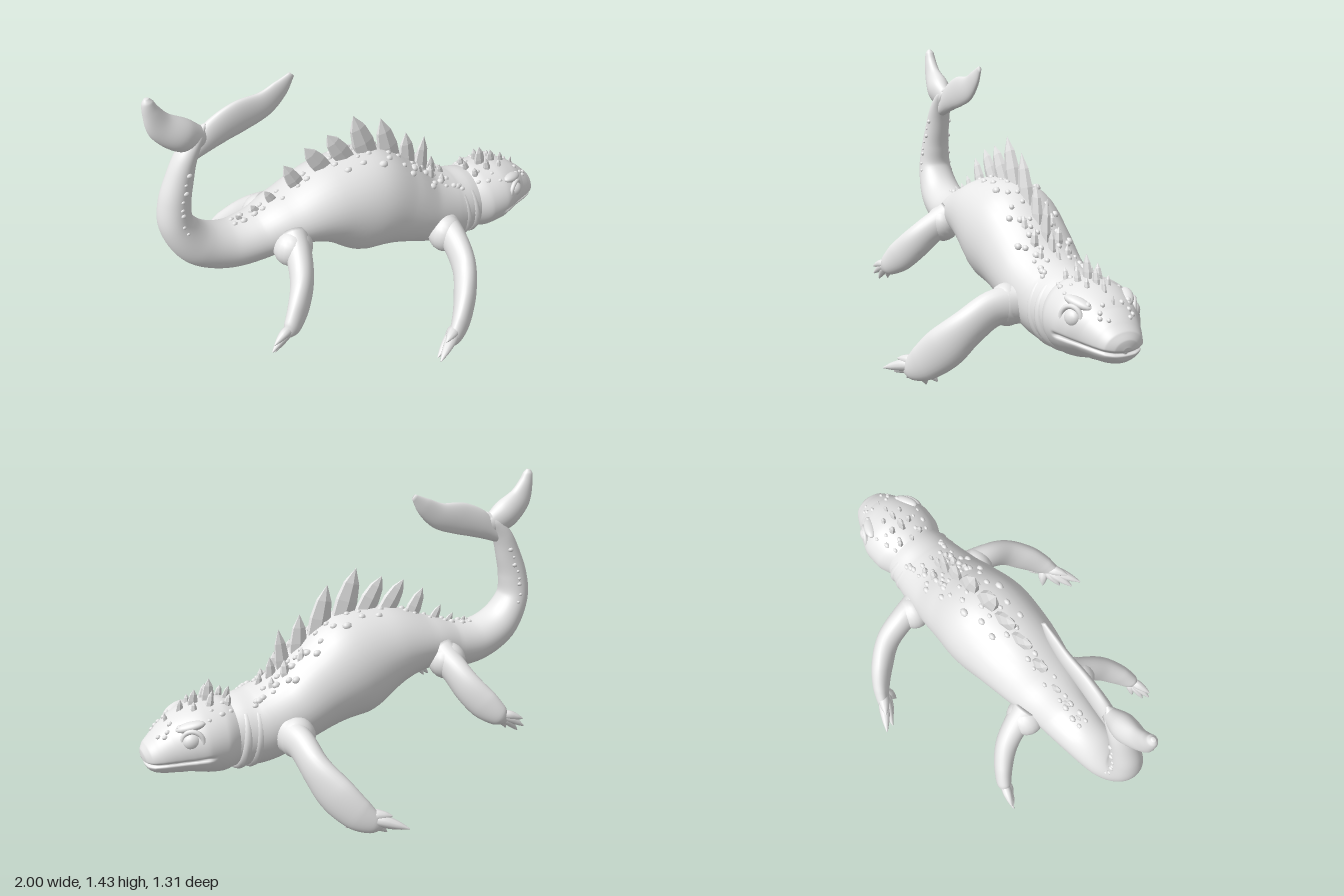
import * as THREE from 'three';

const clay = new THREE.MeshStandardMaterial({ color: 0xe8e8e8 });
clay.name = 'pale grey clay';
const V = (x, y, z) => new THREE.Vector3(x, y, z);

// Smooth skin through stations [x, y, z, half width, half height]
function skin(stations, side, rings = stations.length * 6, segs = 28) {
  const path = new THREE.CatmullRomCurve3(stations.map(s => V(s[0], s[1], s[2])));
  const radii = new THREE.CatmullRomCurve3(stations.map(s => V(s[3], s[4], 0)));
  const at = (t, angle, k = 1) => {
    const c = path.getPoint(t), r = radii.getPoint(t), T = path.getTangent(t);
    const S = side ? side.clone() : V(0, 1, 0).cross(T).normalize();
    const U = T.clone().cross(S);
    return c.addScaledVector(S, Math.cos(angle) * r.x * k).addScaledVector(U, Math.sin(angle) * r.y * k);
  };
  const pos = [], idx = [];
  for (let i = -1; i <= rings + 1; i++) {
    const t = Math.min(1, Math.max(0, i / rings)), k = i < 0 || i > rings ? 0.001 : 1;
    for (let j = 0; j < segs; j++) pos.push(...at(t, j / segs * Math.PI * 2, k).toArray());
  }
  for (let i = 0; i < rings + 2; i++) for (let j = 0; j < segs; j++) {
    const a = i * segs + j, b = i * segs + (j + 1) % segs;
    idx.push(a, b, a + segs, b, b + segs, a + segs);
  }
  const geometry = new THREE.BufferGeometry();
  geometry.setAttribute('position', new THREE.Float32BufferAttribute(pos, 3));
  geometry.setIndex(idx);
  geometry.computeVertexNormals();
  return { geometry, at };
}

function add(parent, name, geometry) {
  const mesh = new THREE.Mesh(geometry, clay);
  mesh.name = name;
  parent.add(mesh);
  return mesh;
}

const ball = new THREE.SphereGeometry(1, 20, 14);
const pebble = new THREE.SphereGeometry(1, 8, 6);
// Faceted spine: unshared corners give flat faces
const spikeShape = new THREE.LatheGeometry(
  [[0.95, -0.25], [1, 0.25], [0.72, 0.65], [0, 1]].map(p => new THREE.Vector2(...p)), 6).toNonIndexed();
spikeShape.computeVertexNormals();

function blob(parent, name, p, s, geometry = ball) {
  const m = add(parent, name, geometry);
  m.position.set(...p);
  m.scale.set(...s);
  return m;
}

// Blade from base to tip, leaning in the body plane
function spike(parent, name, bx, by, tx, ty, w, z = 0, depth = 0.45) {
  const m = add(parent, name, spikeShape);
  m.position.set(bx, by, z);
  m.rotation.z = Math.atan2(ty - by, tx - bx) - Math.PI / 2;
  m.scale.set(w, Math.hypot(tx - bx, ty - by), w * depth);
}

function limb(parent, name, s, stations, joint, jointSize, toeBase, toeTips, toeWidth) {
  const g = new THREE.Group();
  g.name = name;
  parent.add(g);
  const mir = a => [a[0], a[1], a[2] * s, ...a.slice(3)];
  add(g, name + 'Flesh', skin(stations.map(mir)).geometry);
  blob(g, name + 'Joint', mir(joint), jointSize);
  toeTips.forEach(tip => {
    const mix = (k, r, lift = 0) => mir([0, 1, 2].map(i =>
      toeBase[i] + (tip[i] - toeBase[i]) * k + (i === 1 ? lift : 0)).concat(r, r));
    add(g, name + 'Toe', skin([mix(0, toeWidth * 0.8), mix(0.4, toeWidth, 0.008),
      mix(0.75, toeWidth * 0.65, 0.005), mix(1, 0.003)], null, 12, 10).geometry);
  });
}

export function createModel() {
  const model = new THREE.Group();
  model.name = 'seaLizard';
  const Z = V(0, 0, 1);

  // Body from neck to tail tip
  const body = skin([
    [0.70, 0.385, 0, 0.14, 0.13], [0.56, 0.385, 0, 0.17, 0.17], [0.45, 0.395, 0, 0.187, 0.18],
    [0.30, 0.455, 0, 0.205, 0.182], [0.15, 0.54, 0, 0.22, 0.218], [0, 0.607, 0, 0.232, 0.255],
    [-0.2, 0.66, 0, 0.21, 0.198], [-0.4, 0.652, 0, 0.17, 0.128], [-0.55, 0.615, 0, 0.135, 0.115],
    [-0.7, 0.615, 0, 0.115, 0.107], [-0.835, 0.68, 0, 0.105, 0.097], [-0.915, 0.81, 0, 0.085, 0.075],
    [-0.91, 0.92, 0, 0.072, 0.069], [-0.88, 1.02, 0, 0.062, 0.06], [-0.84, 1.12, 0, 0.055, 0.047],
    [-0.785, 1.2, 0, 0.042, 0.03], [-0.74, 1.245, 0, 0.006, 0.006]], Z, 120, 40);
  add(model, 'body', body.geometry);

  // Tail fin lobes
  add(model, 'frontTailFin', skin([
    [-0.82, 1.12, 0, 0.03, 0.03], [-0.7, 1.195, 0, 0.032, 0.068], [-0.6, 1.23, 0, 0.028, 0.076],
    [-0.48, 1.255, 0, 0.023, 0.062], [-0.4, 1.305, 0, 0.018, 0.044], [-0.34, 1.358, 0, 0.008, 0.014]], Z).geometry);
  add(model, 'rearTailFin', skin([
    [-0.76, 1.175, 0, 0.03, 0.05], [-0.85, 1.228, 0, 0.055, 0.072], [-0.925, 1.292, 0, 0.038, 0.062],
    [-0.96, 1.37, 0, 0.028, 0.037], [-0.97, 1.415, 0, 0.021, 0.024], [-0.972, 1.434, 0, 0.008, 0.01]], Z).geometry);

  // Soft neck folds
  [[0.51, 0.385, 0.156], [0.565, 0.38, 0.15]].forEach(([x, y, r]) => {
    const fold = add(model, 'neckFold', new THREE.TorusGeometry(r, 0.026, 12, 48));
    fold.position.set(x, y, 0);
    fold.rotation.set(0, Math.PI / 2, 0.1, 'ZYX');
  });

  // Head, with the mouth pressed in as a narrow crease
  const head = skin([
    [0.575, 0.38, 0, 0.15, 0.15], [0.66, 0.385, 0, 0.186, 0.168], [0.74, 0.388, 0, 0.19, 0.161],
    [0.81, 0.378, 0, 0.168, 0.143], [0.87, 0.361, 0, 0.137, 0.12], [0.93, 0.343, 0, 0.11, 0.093],
    [0.97, 0.333, 0, 0.088, 0.07], [0.992, 0.328, 0, 0.055, 0.045], [1, 0.326, 0, 0.018, 0.015]], null, 90, 140);
  const skinPoints = head.geometry.attributes.position;
  for (let i = 0; i < skinPoints.count; i++) {
    const x = skinPoints.getX(i), y = skinPoints.getY(i), z = skinPoints.getZ(i);
    const d = (y - 0.315 - z * z) / 0.007;
    const press = 1 - 0.09 * Math.exp(-d * d) * THREE.MathUtils.smoothstep(x, 0.71, 0.76);
    skinPoints.setXYZ(i, 0.7 + (x - 0.7) * (1 - (1 - press) * 0.6), y, z * press);
  }
  head.geometry.computeVertexNormals();
  add(model, 'head', head.geometry);

  for (const s of [1, -1]) {
    // Eyes, brows and nostrils
    blob(model, 'eye', [0.81, 0.43, s * 0.136], [0.044, 0.04, 0.034]);
    const lid = add(model, 'eyelid', new THREE.TorusGeometry(0.046, 0.011, 10, 28));
    lid.position.set(0.812, 0.432, s * 0.146);
    lid.rotation.y = s * 0.5;
    const brow = blob(model, 'brow', [0.81, 0.487, s * 0.112], [0.068, 0.022, 0.03]);
    brow.rotation.set(0, s * 0.45, -0.25);
    const nostril = add(model, 'nostril', new THREE.TorusGeometry(0.011, 0.005, 8, 16));
    nostril.position.set(0.965, 0.383, s * 0.06);
    nostril.rotation.y = s * 0.8;

    // Front and rear legs
    limb(model, s > 0 ? 'leftFrontLeg' : 'rightFrontLeg', s, [
      [0.37, 0.385, 0.16, 0.075, 0.09], [0.357, 0.37, 0.27, 0.06, 0.08], [0.337, 0.295, 0.38, 0.056, 0.083],
      [0.285, 0.205, 0.465, 0.053, 0.095], [0.215, 0.125, 0.535, 0.042, 0.08], [0.155, 0.085, 0.572, 0.028, 0.05],
      [0.12, 0.07, 0.585, 0.01, 0.015]], [0.35, 0.38, 0.2], [0.085, 0.095, 0.08], [0.2, 0.11, 0.54],
      [[0.025, 0.065, 0.65], [0.04, 0.045, 0.605], [0.09, 0.025, 0.565], [0.155, 0.005, 0.5],
        [0.085, 0.12, 0.605], [0.25, 0.045, 0.485]], 0.028);
    limb(model, s > 0 ? 'leftRearLeg' : 'rightRearLeg', s, [
      [-0.43, 0.625, 0.12, 0.07, 0.085], [-0.45, 0.575, 0.21, 0.058, 0.072], [-0.483, 0.5, 0.29, 0.052, 0.076],
      [-0.535, 0.43, 0.35, 0.045, 0.075], [-0.595, 0.375, 0.395, 0.034, 0.052], [-0.63, 0.352, 0.41, 0.012, 0.018]],
      [-0.45, 0.595, 0.155], [0.09, 0.088, 0.083], [-0.59, 0.38, 0.395],
      [[-0.7, 0.355, 0.435], [-0.71, 0.315, 0.43], [-0.69, 0.29, 0.41], [-0.645, 0.3, 0.38]], 0.022);

    // Small paired spikes on shoulders and head
    [[0.27, 0.68, 0.26, 0.745, 0.02, 0.07], [0.34, 0.62, 0.345, 0.7, 0.024, 0.06],
      [0.41, 0.56, 0.41, 0.63, 0.02, 0.065], [0.62, 0.54, 0.61, 0.585, 0.016, 0.06],
      [0.70, 0.54, 0.685, 0.61, 0.018, 0.05], [0.77, 0.525, 0.77, 0.575, 0.015, 0.05]]
      .forEach(([a, b, c, d, w, z]) => spike(model, 'sideSpike', a, b, c, d, w, s * z, 0.8));
  }

  // Ridge of spines along the back, then the head crest
  [[-0.62, 0.71, -0.645, 0.745, 0.014], [-0.54, 0.72, -0.57, 0.77, 0.02], [-0.46, 0.75, -0.5, 0.82, 0.025],
    [-0.34, 0.8, -0.4, 0.92, 0.04], [-0.21, 0.85, -0.295, 0.975, 0.046], [-0.1, 0.87, -0.18, 1.005, 0.05],
    [0.02, 0.86, -0.045, 1.06, 0.058], [0.15, 0.79, 0.1, 1.0, 0.055], [0.25, 0.7, 0.24, 0.88, 0.046],
    [0.325, 0.63, 0.345, 0.825, 0.038], [0.385, 0.58, 0.39, 0.7, 0.03], [0.45, 0.56, 0.44, 0.63, 0.02],
    [0.61, 0.54, 0.59, 0.6, 0.018], [0.69, 0.55, 0.68, 0.65, 0.03], [0.76, 0.54, 0.75, 0.61, 0.024],
    [0.82, 0.51, 0.815, 0.575, 0.018], [0.88, 0.465, 0.89, 0.525, 0.013]]
    .forEach(p => spike(model, 'backSpine', ...p));

  // Pebbled scales in mirrored rows, half sunk into the skin
  let seed = 7;
  const rnd = () => (seed = (seed * 16807) % 2147483647) / 2147483647;
  const scales = (name, surface, n, t0, t1, a0, a1, size) => {
    for (let i = 0; i < n; i++) {
      const t = t0 + (t1 - t0) * (i + 0.6 * rnd()) / n;
      const off = a0 + (a1 - a0) * rnd(), r = size * (0.75 + 0.5 * rnd());
      for (const s of [1, -1]) {
        const p = surface.at(t, Math.PI / 2 + s * off, 0.985);
        blob(model, name, p.toArray(), [r * 1.25, r, r * 0.9], pebble);
      }
    }
  };
  scales('shoulderScale', body, 14, 0.1, 0.27, 0.15, 0.7, 0.014);
  scales('backScale', body, 6, 0.25, 0.38, 0.3, 0.55, 0.016);
  scales('ridgeScale', body, 14, 0.22, 0.56, 0.1, 0.18, 0.012);
  scales('tailScale', body, 8, 0.68, 0.85, 1.35, 1.5, 0.009);
  scales('headScale', head, 13, 0.06, 0.6, 0.15, 0.8, 0.012);
  return model;
}
